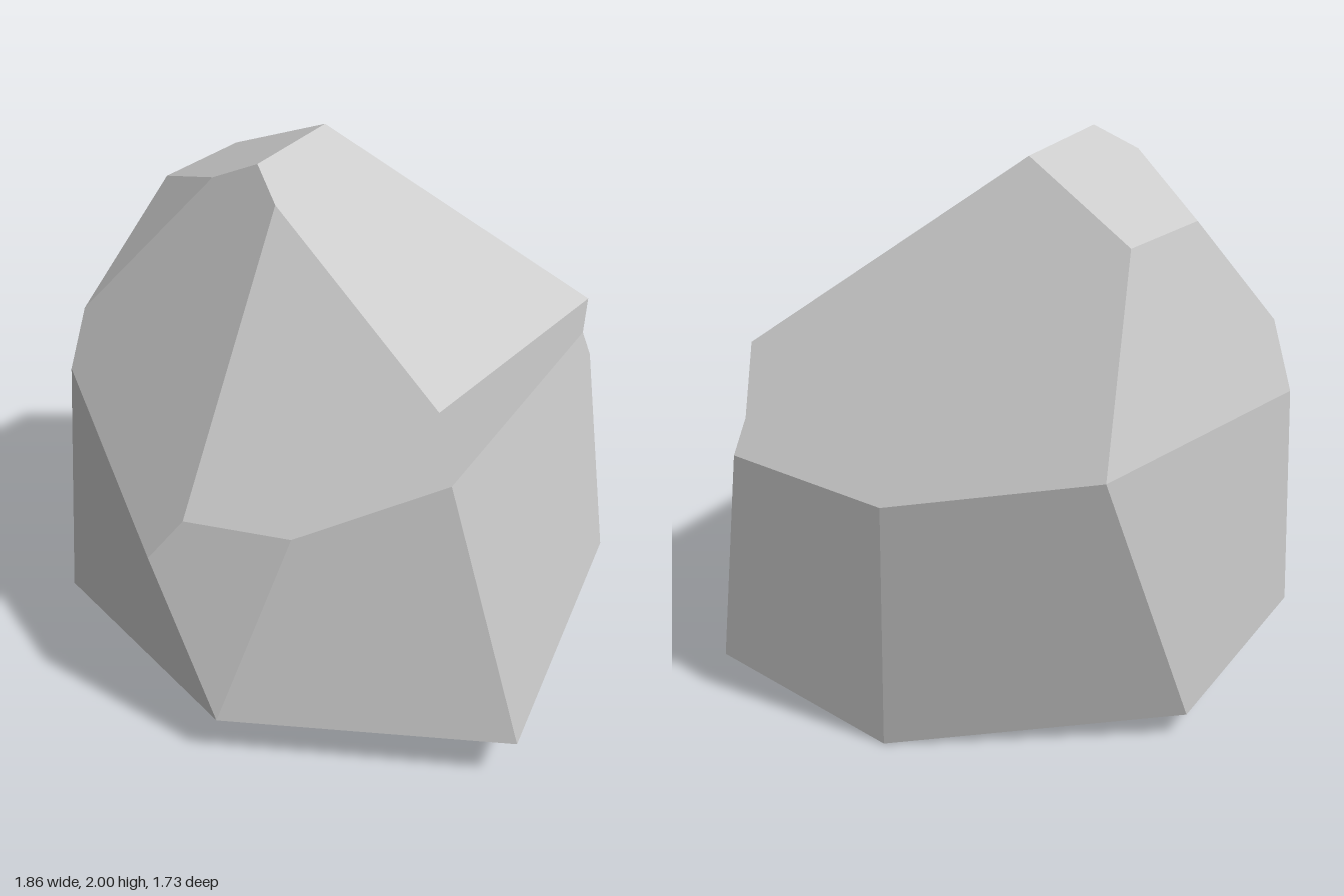
import * as THREE from 'three';

// Corners of the boulder, grouped by height
const corners = {
  // crown
  top: [-0.2, 2, 0.22], topBack: [-0.16, 1.99, -0.21], topRight: [-0.36, 1.93, 0.24], topFront: [-0.1, 1.9, 0.29],
  crownSide: [-0.68, 1.78, 0], crownBack: [-0.6, 1.78, -0.37],
  // shoulders
  shoulder: [0.57, 1.37, 0.46], ledge: [0.71, 1.32, -0.6], rightHigh: [-0.86, 1.36, 0.31],
  // waist
  leftFront: [0.65, 1.15, 0.53], notch: [0.655, 1.1, -0.74], leftBack: [0.67, 0.98, -0.8], back: [0.06, 0.94, -0.865],
  rightBack: [-0.7, 1.14, -0.76], right: [-0.93, 1.1, 0.32],
  frontLow: [-0.32, 0.78, 0.85], front: [-0.2, 0.94, 0.81], frontLeft: [0.17, 0.93, 0.74],
  // middle of the twisted back facet
  backMiddle: [-0.34, 0.55, -0.685],
  // foot
  footFront: [-0.07, 0.175, 0.865], footLeft: [0.93, 0.19, 0.55], footLeftBack: [0.78, 0.16, -0.77],
  footBack: [0.1, 0, -0.815], footRightBack: [-0.83, 0.1, -0.32], footRight: [-0.92, 0.22, 0.43],
};

// Each facet is a loop of corners, filled as a fan from its first corner
const facets = [
  'top topBack crownBack crownSide topRight',
  'topBack top topFront shoulder ledge',
  'back rightBack crownBack topBack ledge notch leftBack',
  'rightBack crownBack crownSide rightHigh right',
  'crownSide topRight rightHigh',
  'front frontLow right rightHigh topRight top topFront',
  'topFront shoulder leftFront frontLeft front',
  'leftFront notch ledge shoulder',
  'leftFront footLeft footLeftBack leftBack notch',
  'frontLow front frontLeft footFront',
  'frontLeft leftFront footLeft footFront',
  'right footRight footFront frontLow',
  'right footRight footRightBack rightBack',
  'backMiddle rightBack back footBack footRightBack rightBack',
  'back leftBack footLeftBack footBack',
  'footBack footRightBack footRight footFront footLeft footLeftBack',
];

export function createModel() {
  const middle = new THREE.Vector3(0, 0.9, 0);
  const points = [];
  const normals = [];
  for (const facet of facets) {
    const [first, ...rest] = facet.split(' ').map((name) => new THREE.Vector3(...corners[name]));
    // One shared normal keeps a slightly twisted facet evenly shaded
    const normal = new THREE.Vector3();
    for (let i = 0; i < rest.length - 1; i++) {
      const a = rest[i].clone().sub(first);
      normal.add(a.cross(rest[i + 1].clone().sub(first)));
    }
    // Turn the loop so that it faces away from the middle
    if (normal.dot(first.clone().sub(middle)) < 0) {
      rest.reverse();
      normal.negate();
    }
    normal.normalize();
    for (let i = 0; i < rest.length - 1; i++) {
      points.push(first, rest[i], rest[i + 1]);
      for (let k = 0; k < 3; k++) normals.push(normal.x, normal.y, normal.z);
    }
  }
  const geometry = new THREE.BufferGeometry().setFromPoints(points);
  geometry.setAttribute('normal', new THREE.Float32BufferAttribute(normals, 3));

  const boulder = new THREE.Mesh(geometry, new THREE.MeshStandardMaterial({ color: 0xcccccc }));
  boulder.name = 'boulder';
  const group = new THREE.Group();
  group.name = 'rock';
  group.add(boulder);
  return group;
}
